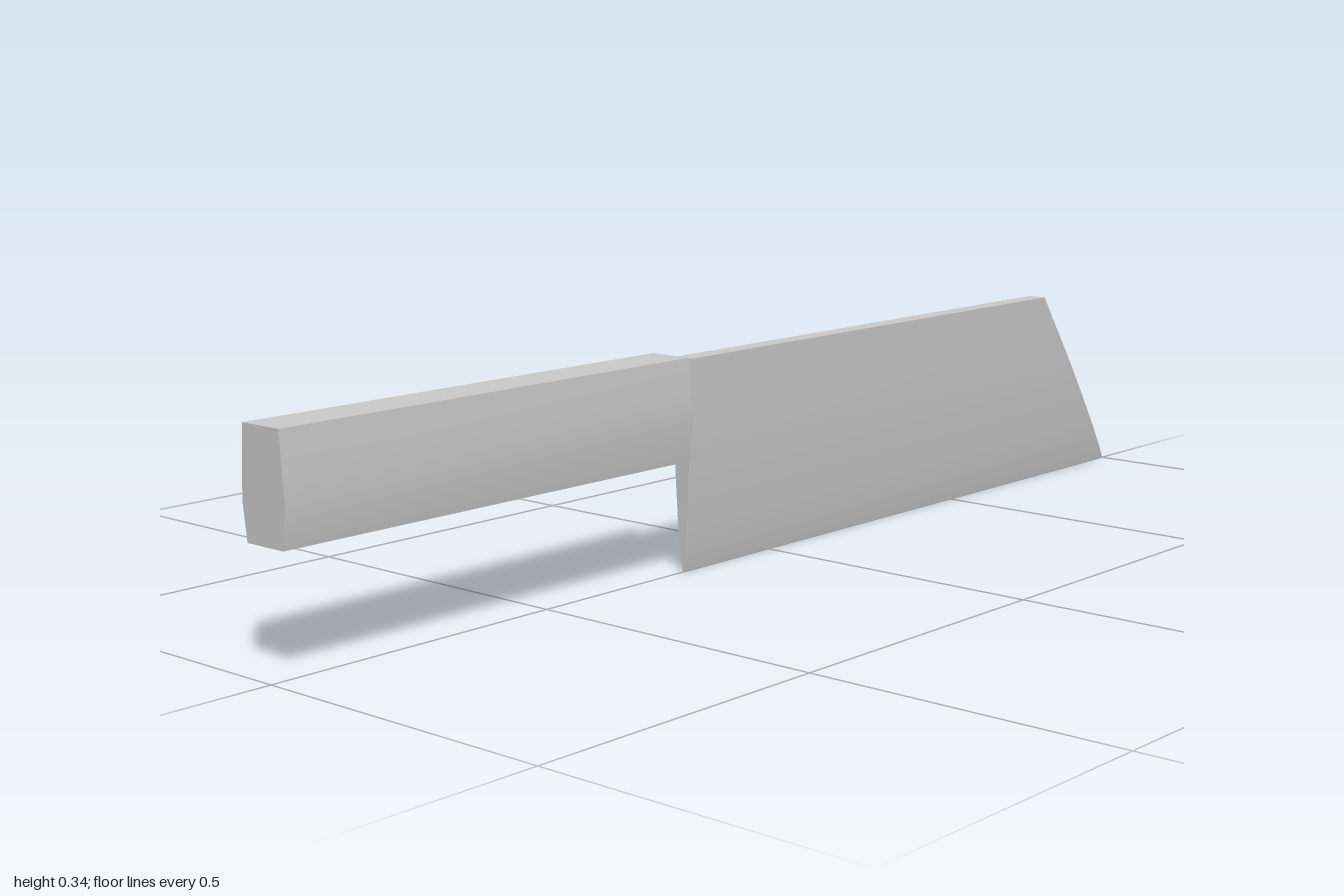
import * as THREE from 'three';
import { toCreasedNormals } from 'three/addons/utils/BufferGeometryUtils.js';

// Stack of rectangles [y, halfWidth, zFront, zBack] joined into a closed solid
function loftRectangles(levels) {
  const positions = [];
  const index = [];
  for (const [y, w, zf, zb] of levels) {
    positions.push(w, y, zf, w, y, zb, -w, y, zb, -w, y, zf);
  }
  for (let i = 0; i < levels.length - 1; i++) {
    for (let j = 0; j < 4; j++) {
      const a = i * 4 + j, b = i * 4 + (j + 1) % 4;
      index.push(a, b, b + 4, a, b + 4, a + 4);
    }
  }
  const t = (levels.length - 1) * 4;
  index.push(0, 2, 1, 0, 3, 2, t, t + 1, t + 2, t, t + 2, t + 3);
  const geometry = new THREE.BufferGeometry();
  geometry.setAttribute('position', new THREE.Float32BufferAttribute(positions, 3));
  geometry.setIndex(index);
  return toCreasedNormals(geometry, 0.5);
}

export function createModel() {
  const group = new THREE.Group();
  const material = new THREE.MeshStandardMaterial({ color: 0xcccccc });
  const add = (name, geometry) => {
    const mesh = new THREE.Mesh(geometry, material);
    mesh.name = name;
    group.add(mesh);
  };

  // Handle: bulged section extruded along z
  const half = [[0.037, 0.185], [0.044, 0.24], [0.0415, 0.29], [0.037, 0.345]];
  const outline = [...half, ...half.map(([x, y]) => [-x, y]).reverse()];
  const section = new THREE.Shape(outline.map(([x, y]) => new THREE.Vector2(x, y)));
  const handle = new THREE.ExtrudeGeometry(section, { depth: 0.772, bevelEnabled: false });
  handle.translate(0, 0, 0.228);
  add('handle', toCreasedNormals(handle, 0.5));

  // Blade: wedge section, slanted tip, notched heel with a tang entering the handle
  const top = 0.338;
  const tipZ = (y) => -1 + 0.237 * (y / top);
  const profile = [
    [0, 0.0004, 0.205], [0.028, 0.005, 0.205], [0.08, 0.0095, 0.205], [0.14, 0.013, 0.205],
    [0.198, 0.0153, 0.205], [0.201, 0.0154, 0.222], [0.207, 0.0156, 0.24], [top, 0.0165, 0.24],
  ];
  add('blade', loftRectangles(profile.map(([y, w, zf]) => [y, w, zf, tipZ(y)])));

  return group;
}
